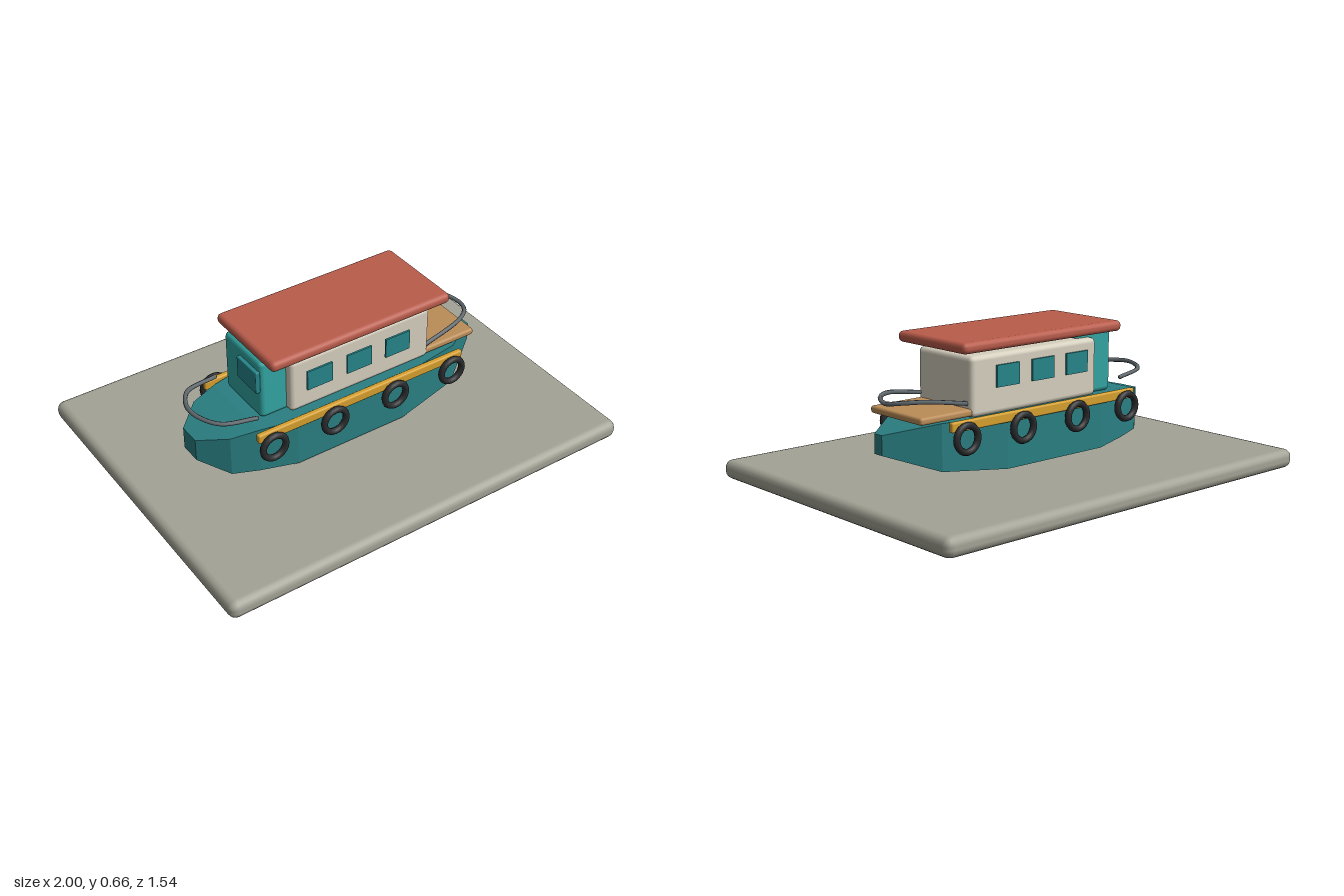
import * as THREE from 'three';
import { RoundedBoxGeometry } from 'three/addons/geometries/RoundedBoxGeometry.js';

const mat = (name, color, extra = {}) => new THREE.MeshStandardMaterial({ name, color, ...extra });

// Hull stations: x, half width, bottom y, top y
const STATIONS = [
  [-0.73, 0.05, 0.19, 0.295],
  [-0.62, 0.15, 0.13, 0.32],
  [-0.5, 0.185, 0.117, 0.335],
  [-0.33, 0.22, 0.1, 0.338],
  [0.22, 0.22, 0.1, 0.338],
  [0.53, 0.165, 0.13, 0.333],
  [0.73, 0.025, 0.205, 0.29],
];

function hullGeometry() {
  const pos = [], idx = [];
  for (const [x, w, bottom, top] of STATIONS) {
    pos.push(x, top, w, x, top, -w, x, bottom, -w, x, bottom, w);
  }
  const last = (STATIONS.length - 1) * 4;
  for (let a = 0; a < last; a += 4) {
    for (let i = 0; i < 4; i++) {
      const j = (i + 1) % 4;
      idx.push(a + i, a + 4 + i, a + 4 + j, a + i, a + 4 + j, a + j);
    }
  }
  idx.push(0, 1, 2, 0, 2, 3, last, last + 2, last + 1, last, last + 3, last + 2);
  const indexed = new THREE.BufferGeometry();
  indexed.setAttribute('position', new THREE.Float32BufferAttribute(pos, 3));
  indexed.setIndex(idx);
  const g = indexed.toNonIndexed();
  g.computeVertexNormals();
  return g;
}

export function createModel() {
  const model = new THREE.Group();
  model.name = 'houseboat';
  const stone = mat('stone grey', 0xa3a396);
  const teal = mat('hull teal', 0x2a7f82);
  const brightTeal = mat('wheelhouse teal', 0x32a5a2);
  const glass = mat('window teal', 0x26858a);
  const cream = mat('cabin cream', 0xd6d0bf);
  const red = mat('roof red', 0xb95c4b);
  const yellow = mat('strake yellow', 0xd6a02e);
  const wood = mat('deck wood', 0xbb8d58);
  const rubber = mat('rubber black', 0x2a2b2d);
  const steel = mat('rail grey', 0x626b70);

  const add = (name, geometry, material, x = 0, y = 0, z = 0) => {
    const mesh = new THREE.Mesh(geometry, material);
    mesh.name = name;
    mesh.position.set(x, y, z);
    model.add(mesh);
    return mesh;
  };
  // Rounded box given by its limits on each axis
  const block = (name, material, [x0, x1], [y0, y1], [z0, z1], radius) =>
    add(name, new RoundedBoxGeometry(x1 - x0, y1 - y0, z1 - z0, 2, radius), material,
      (x0 + x1) / 2, (y0 + y1) / 2, (z0 + z1) / 2);

  // Base slab and hull
  block('baseSlab', stone, [-1, 1], [0, 0.085], [-0.772, 0.772], 0.036);
  add('hull', hullGeometry(), teal);

  // Superstructure
  block('cabin', cream, [-0.33, 0.39], [0.335, 0.592], [-0.187, 0.166], 0.022);
  block('wheelhouse', brightTeal, [-0.455, -0.24], [0.335, 0.622], [-0.153, 0.131], 0.022);
  block('roof', red, [-0.443, 0.465], [0.614, 0.662], [-0.234, 0.211], 0.021);
  block('aftDeck', wood, [0.33, 0.65], [0.342, 0.374], [-0.181, 0.16], 0.012);
  block('wheelhouseWindow', glass, [-0.472, -0.45], [0.472, 0.578], [-0.025, 0.125], 0.004);

  // Strakes, tyre fenders and cabin windows on both sides
  for (const side of [1, -1]) {
    block('strake', yellow, [-0.53, 0.53], [0.302, 0.346],
      side > 0 ? [0.206, 0.232] : [-0.232, -0.206], 0.008);
    for (const x of [-0.465, -0.16, 0.155, 0.463]) {
      add('tyreFender', new THREE.TorusGeometry(0.056, 0.015, 8, 20), rubber, x, 0.273, side * 0.246);
    }
    for (const x of [-0.203, -0.003, 0.197]) {
      add('cabinWindow', new THREE.BoxGeometry(0.126, 0.094, 0.009), glass, x, 0.497, side * 0.194);
    }
  }

  // Curved rails, each half mirrored across the centre line
  const rail = (name, half, middle) => {
    const points = [
      ...half, middle,
      ...half.slice().reverse().map(([x, y, z]) => [x, y, -z]),
    ].map((p) => new THREE.Vector3(...p));
    const curve = new THREE.CatmullRomCurve3(points);
    add(name, new THREE.TubeGeometry(curve, 28, 0.01, 6), steel);
    for (const end of [points[0], points[points.length - 1]]) {
      add(name + 'End', new THREE.SphereGeometry(0.01, 6, 4), steel, end.x, end.y, end.z);
    }
  };
  rail('bowRail', [[-0.5, 0.39, 0.17], [-0.65, 0.404, 0.135], [-0.705, 0.411, 0.06]], [-0.718, 0.414, 0]);
  rail('sternRail', [[0.38, 0.393, 0.155], [0.58, 0.424, 0.128], [0.66, 0.422, 0.075]], [0.69, 0.412, 0]);

  return model;
}
